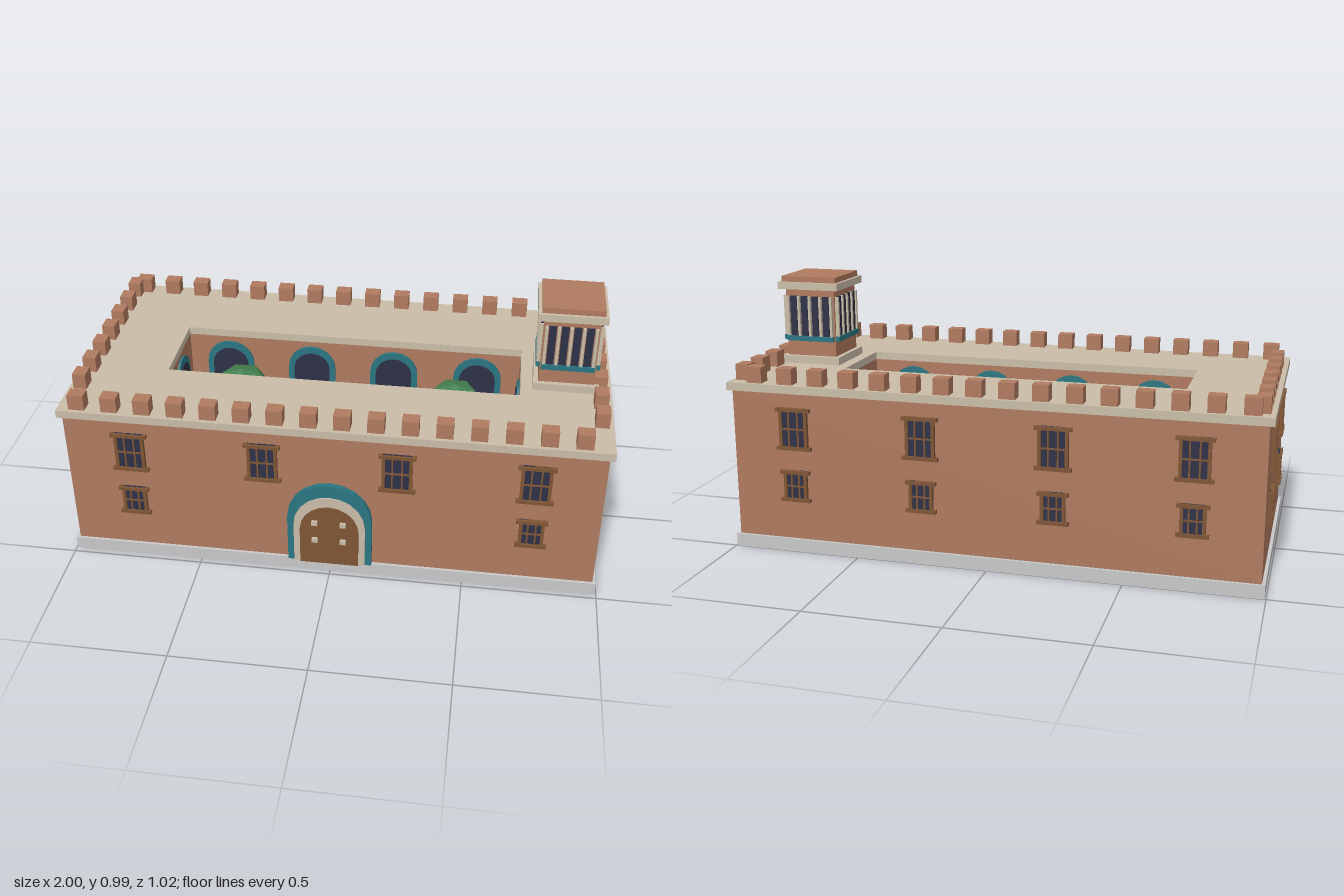
import * as THREE from 'three';

const mat = (name, color, flat = false) => {
  const m = new THREE.MeshStandardMaterial({ color, flatShading: flat });
  m.name = name;
  return m;
};
const CZ = -0.012; // building centre in z

export function createModel() {
  const root = new THREE.Group();
  root.name = 'courtyardPalace';
  const brick = mat('brick', 0xb07a5f), sand = mat('sandstone', 0xc9bda8), stone = mat('stone', 0xc8c8c8, true);
  const teal = mat('teal tile', 0x2a7682), navy = mat('dark glass', 0x2e3047), wood = mat('wood', 0x7f5535);
  const lawnGreen = mat('lawn', 0x4f8f5f), leaf = mat('tree leaf', 0x44804f, true);
  const shrubGreen = mat('shrub leaf', 0x2f6b45, true), water = mat('water', 0x3f88a8, true);

  const add = (parent, name, geo, material, x = 0, y = 0, z = 0) => {
    const m = new THREE.Mesh(geo, material);
    m.name = name;
    m.position.set(x, y, z);
    parent.add(m);
    return m;
  };
  // box given by its centre in x and z and its bottom in y
  const box = (parent, name, material, w, h, d, x, y, z) =>
    add(parent, name, new THREE.BoxGeometry(w, h, d), material, x, y + h / 2, z);
  const group = (name, x, y, z, ry = 0) => {
    const g = new THREE.Group();
    g.name = name;
    g.position.set(x, y, z);
    g.rotation.y = ry;
    root.add(g);
    return g;
  };

  // Rectangular block with the courtyard cut out
  const HX = 0.665, HZ = 0.163;
  const rect = (path, a, b) => path.moveTo(-a, -b).lineTo(a, -b).lineTo(a, b).lineTo(-a, b).closePath();
  const ringBlock = (name, material, a, b, y0, y1) => {
    const s = new THREE.Shape();
    rect(s, a, b);
    const hole = new THREE.Path();
    rect(hole, HX, HZ);
    s.holes.push(hole);
    const g = new THREE.ExtrudeGeometry(s, { depth: y1 - y0, bevelEnabled: false });
    g.rotateX(-Math.PI / 2);
    add(root, name, g, material, 0, y0, CZ);
  };
  box(root, 'plinth', stone, 1.99, 0.05, 0.98, 0, 0, CZ);
  ringBlock('walls', brick, 0.983, 0.479, 0.05, 0.615);
  ringBlock('roofTerrace', sand, 1.0, 0.495, 0.615, 0.645);

  // Battlements
  for (let i = 0; i < 16; i++) for (const s of [-1, 1])
    box(root, 'merlon', brick, 0.06, 0.06, 0.05, -0.925 + i * 0.1212, 0.645, CZ + s * 0.456);
  for (let i = 0; i < 7; i++) for (const s of [-1, 1])
    box(root, 'sideMerlon', brick, 0.05, 0.06, 0.06, s * 0.957, 0.645, -0.43 + i * 0.1213);

  // Barred windows, facing local +z
  const makeWindow = (x, y, z, ry, w, h) => {
    const g = group('window', x, y, z, ry);
    box(g, 'glass', navy, w, h, 0.008, 0, 0, 0.004);
    for (const s of [-1, 1]) box(g, 'jamb', wood, 0.012, h, 0.014, s * (w / 2 - 0.003), 0, 0.007);
    for (const s of [-1, 1]) box(g, 'bar', wood, 0.006, h, 0.012, s * w * 0.17, 0, 0.006);
    box(g, 'crossBar', wood, w, 0.006, 0.012, 0, h / 2 - 0.003, 0.006);
    box(g, 'sill', wood, w + 0.03, 0.013, 0.017, 0, 0, 0.0085);
    box(g, 'lintel', wood, w + 0.03, 0.013, 0.017, 0, h - 0.013, 0.0085);
  };
  const upper = [0.4, 0.105, 0.16], lower = [0.2, 0.085, 0.12];
  for (const level of [upper, lower]) {
    const [y, w, h] = level;
    for (const x of [-0.74, -0.246, 0.246, 0.74]) {
      if (level === upper || Math.abs(x) > 0.5) makeWindow(x, y, CZ + 0.479, 0, w, h);
      makeWindow(x, y, CZ - 0.479, Math.PI, w, h);
    }
    for (const s of [-1, 1]) for (const dz of [-0.24, 0.24])
      makeWindow(s * 0.983, y, CZ + dz, s * Math.PI / 2, w, h);
  }

  // Round-headed panel standing on y = 0
  const archPath = (path, r, spring) => {
    path.moveTo(-r, 0).lineTo(r, 0).lineTo(r, spring);
    path.absarc(0, spring, r, 0, Math.PI, false);
    return path.lineTo(-r, 0);
  };
  const archGeo = (r, spring, depth, hole) => {
    const s = archPath(new THREE.Shape(), r, spring);
    if (hole) s.holes.push(archPath(new THREE.Path(), hole[0], hole[1]).translate?.(0, 0.0) ?? hole);
    return new THREE.ExtrudeGeometry(s, { depth, bevelEnabled: false, curveSegments: 5 });
  };

  // Main gate
  const gate = group('gate', 0, 0.05, CZ + 0.478);
  add(gate, 'gateSurround', archGeo(0.158, 0.2, 0.021), teal);
  add(gate, 'gateArch', archGeo(0.134, 0.172, 0.026), sand);
  add(gate, 'gateDoor', archGeo(0.11, 0.155, 0.031), wood);
  for (const x of [-0.053, 0.053]) for (const y of [0.105, 0.185])
    box(gate, 'doorStud', sand, 0.022, 0.018, 0.012, x, y, 0.036);

  // Courtyard arches
  const courtArch = (x, z, ry) => {
    const g = group('courtyardArch', x, 0.05, z, ry);
    add(g, 'archSurround', archGeo(0.095, 0.45, 0.009), teal);
    add(g, 'archOpening', archGeo(0.072, 0.445, 0.013), navy);
  };
  for (const x of [-0.5, -0.166, 0.166, 0.5]) {
    courtArch(x, CZ - HZ, 0);
    courtArch(x, CZ + HZ, Math.PI);
  }
  for (const s of [-1, 1]) courtArch(s * HX, CZ, -s * Math.PI / 2);

  // Garden
  box(root, 'lawn', lawnGreen, 1.2, 0.012, 0.178, 0, 0.05, CZ);
  for (const s of [-1, 1]) {
    const tree = group('tree', s * 0.42, 0.05, CZ);
    add(tree, 'trunk', new THREE.CylinderGeometry(0.018, 0.025, 0.3, 6), wood, 0, 0.15, 0);
    add(tree, 'crown', new THREE.SphereGeometry(0.135, 6, 5), leaf, 0, 0.385, 0);
    for (const t of [-1, 1]) box(root, 'cornerPost', stone, 0.024, 0.06, 0.024, s * 0.583, 0.05, CZ + t * 0.078);
  }
  const shrub = (x, z) => {
    const g = group('pottedShrub', x, 0.05, z);
    add(g, 'pot', new THREE.CylinderGeometry(0.024, 0.018, 0.04, 6), brick, 0, 0.02, 0);
    add(g, 'foliage', new THREE.SphereGeometry(0.035, 6, 5), shrubGreen, 0, 0.065, 0);
  };
  for (let i = 0; i < 6; i++) for (const s of [-1, 1]) shrub(-0.567 + i * 0.2268, CZ + s * 0.13);
  for (const s of [-1, 1]) shrub(s * 0.635, CZ);

  // Fountain
  const fountain = group('fountain', 0, 0.05, CZ);
  const disc = (name, m, r, y0, y1) =>
    add(fountain, name, new THREE.CylinderGeometry(r, r, y1 - y0, 8), m, 0, (y0 + y1) / 2, 0);
  const rim = new THREE.LatheGeometry([[0.08, 0], [0.092, 0], [0.092, 0.05], [0.08, 0.05], [0.08, 0]]
    .map(p => new THREE.Vector2(...p)), 8);
  add(fountain, 'basinRim', rim, stone);
  disc('pool', water, 0.081, 0, 0.04);
  disc('column', stone, 0.018, 0.04, 0.11);
  disc('upperBowl', stone, 0.05, 0.1, 0.115);
  disc('finial', stone, 0.015, 0.115, 0.14);

  // Tower
  const tower = group('tower', 0.83, 0, CZ);
  const block = (name, m, w, y0, y1) => box(tower, name, m, w, y1 - y0, w, 0, y0, 0);
  block('towerBase', sand, 0.24, 0.645, 0.675);
  block('towerShaft', brick, 0.204, 0.675, 0.94);
  block('towerCornice', sand, 0.25, 0.94, 0.968);
  block('towerCap', brick, 0.225, 0.968, 0.99);
  for (let k = 0; k < 4; k++) {
    const side = new THREE.Group();
    side.name = 'towerSide';
    side.rotation.y = k * Math.PI / 2;
    tower.add(side);
    box(side, 'balconySill', teal, 0.195, 0.02, 0.016, 0, 0.735, 0.109);
    for (let i = 0; i < 4; i++)
      box(side, 'towerWindow', navy, 0.027, 0.157, 0.009, -0.0675 + i * 0.045, 0.755, 0.1065);
    for (let i = 0; i < 5; i++)
      box(side, 'colonnette', sand, 0.01, 0.157, 0.014, -0.09 + i * 0.045, 0.755, 0.109);
  }
  return root;
}
